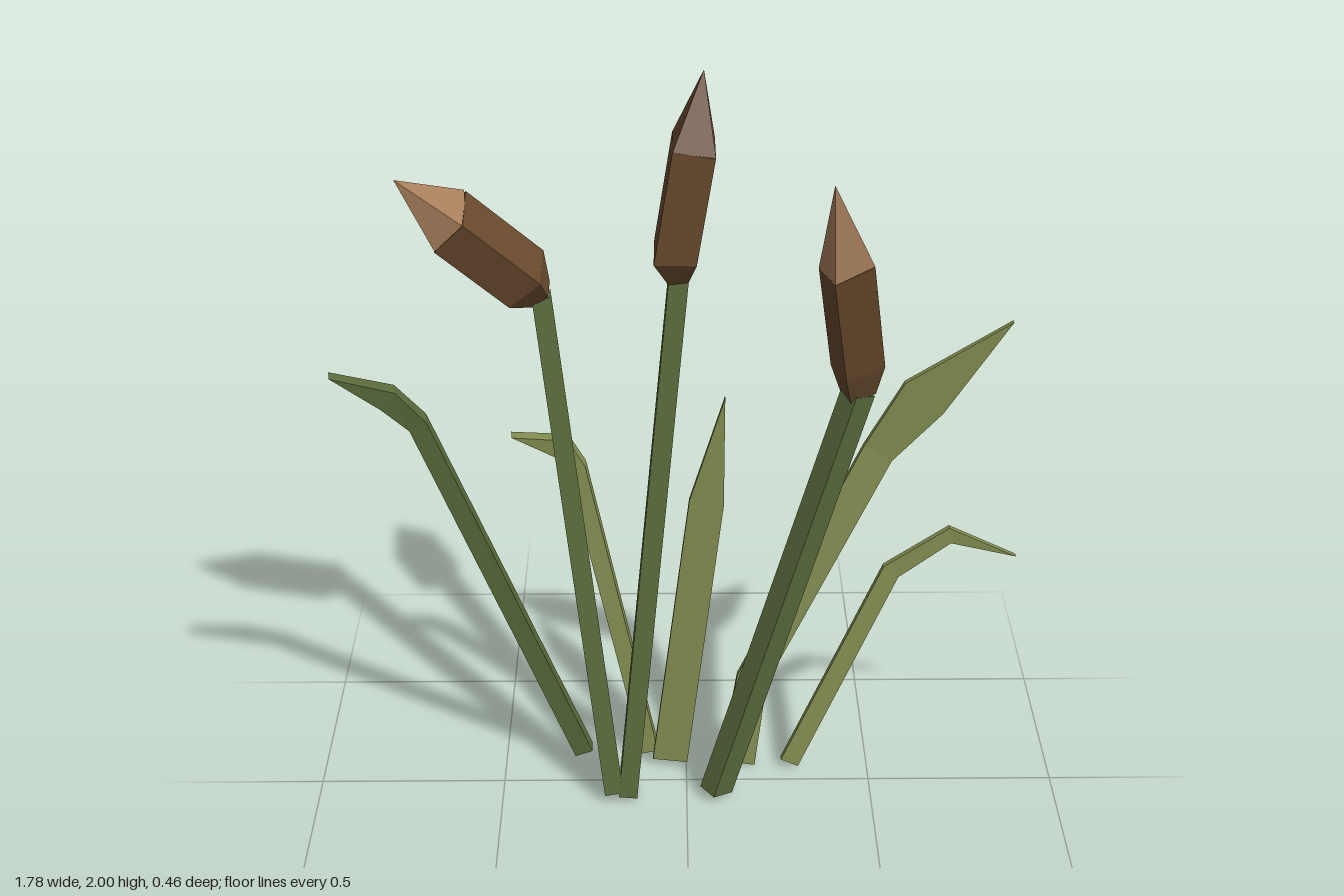
import * as THREE from 'three';

const mat = (name, color) =>
  Object.assign(new THREE.MeshStandardMaterial({ color, flatShading: true }), { name });

// Four-sided sweep. Each station is [x, y, z, width, depth]; depth runs along ref.
function sweep(stations, ref) {
  const pts = stations.map(s => new THREE.Vector3(s[0], s[1], s[2]));
  const last = pts.length - 1;
  const rings = stations.map(([, , , w, d], i) => {
    const t = new THREE.Vector3();
    if (i > 0) t.add(pts[i].clone().sub(pts[i - 1]).normalize());
    if (i < last) t.add(pts[i + 1].clone().sub(pts[i]).normalize());
    t.normalize();
    const v = new THREE.Vector3(...ref).projectOnPlane(t).normalize();
    const u = v.clone().cross(t);
    return [[1, 1], [-1, 1], [-1, -1], [1, -1]].map(([a, b]) =>
      pts[i].clone().addScaledVector(u, a * w / 2).addScaledVector(v, b * d / 2));
  });
  const pos = [];
  const quad = (a, b, c, d) => [a, b, c, a, c, d].forEach(p => pos.push(p.x, p.y, p.z));
  for (let i = 0; i < last; i++) {
    for (let k = 0; k < 4; k++) {
      const n = (k + 1) % 4;
      quad(rings[i][k], rings[i][n], rings[i + 1][n], rings[i + 1][k]);
    }
  }
  quad(...rings[0].slice().reverse());
  quad(...rings[last]);
  const geo = new THREE.BufferGeometry();
  geo.setAttribute('position', new THREE.Float32BufferAttribute(pos, 3));
  geo.computeVertexNormals();
  return geo;
}

export function createModel() {
  const model = new THREE.Group();
  const stalkGreen = mat('stalk green', 0x5a6b3c);
  const leafGreen = mat('leaf green', 0x838e51);
  const headBrown = mat('head brown', 0x694a2d);
  const tipBrown = mat('tip brown', 0xa97f5c);

  const add = (parent, name, material, stations, ref = [0, 0, 1]) => {
    const mesh = new THREE.Mesh(sweep(stations, ref), material);
    mesh.name = name;
    parent.add(mesh);
  };

  // Cattails: stalk, seed head and pointed tip
  const cattails = [
    { name: 'leftCattail', base: [-0.2, 0.025, 0.07], neck: [-0.365, 1.41, -0.105],
      flare: [-0.4, 1.455, -0.1], shoulder: [-0.58, 1.625, -0.06], tip: [-0.707, 1.75, -0.015],
      stalk: [0.05, 0.075], head: [0.106, 0.155],
      stalkRef: [0.1, 0, 1], headRef: [0.03, -0.23, 1], tipMat: tipBrown },
    { name: 'middleCattail', base: [-0.16, 0.015, 0.07], neck: [-0.02, 1.46, -0.09],
      flare: [-0.028, 1.525, -0.09], shoulder: [0.018, 1.81, -0.09], tip: [0.042, 2, -0.09],
      stalk: [0.05, 0.075], head: [0.106, 0.155],
      stalkRef: [0, 0, 1], headRef: [0, 0, 1], tipMat: headBrown },
    { name: 'rightCattail', base: [0.08, 0.02, 0.07], neck: [0.43, 1.195, 0.02],
      flare: [0.425, 1.28, 0.045], shoulder: [0.38, 1.59, 0.155], tip: [0.34, 1.825, 0.23],
      stalk: [0.055, 0.072], head: [0.08, 0.11],
      stalkRef: [0.75, 0, -0.66], headRef: [0.88, 0, -0.45], tipMat: tipBrown },
  ];
  for (const c of cattails) {
    const group = new THREE.Group();
    group.name = c.name;
    add(group, 'stalk', stalkGreen,
      [[...c.base, ...c.stalk], [...c.neck, ...c.stalk]], c.stalkRef);
    add(group, 'seedHead', headBrown,
      [[...c.neck, ...c.stalk], [...c.flare, ...c.head], [...c.shoulder, ...c.head]], c.headRef);
    add(group, 'headTip', c.tipMat,
      [[...c.shoulder, ...c.head], [...c.tip, 0, 0]], c.headRef);
    model.add(group);
  }

  // Thick bent shoots on the left
  add(model, 'leftShoot', stalkGreen, [
    [-0.285, 0.03, -0.11, 0.05, 0.04], [-0.68, 1.11, 0.01, 0.05, 0.04],
    [-0.75, 1.19, 0.03, 0.06, 0.04], [-0.888, 1.265, 0.06, 0, 0.035]]);
  add(model, 'backShoot', leafGreen, [
    [-0.1, 0.03, -0.11, 0.045, 0.04], [-0.29, 0.87, -0.205, 0.05, 0.04],
    [-0.33, 0.93, -0.21, 0.06, 0.04], [-0.46, 0.97, -0.195, 0, 0.035]]);

  // Flat blades in the middle and on the right
  add(model, 'middleBlade', leafGreen, [
    [-0.045, 0.02, -0.075, 0.095, 0.018], [0.053, 0.82, -0.095, 0.092, 0.018],
    [0.1, 1.125, -0.1, 0, 0.016]]);
  add(model, 'broadBlade', leafGreen, [
    [0.142, 0.01, -0.075, 0.095, 0.018], [0.18, 0.27, -0.1, 0.085, 0.018],
    [0.505, 0.93, -0.165, 0.087, 0.018], [0.62, 1.09, -0.165, 0.135, 0.018],
    [0.84, 1.305, -0.165, 0, 0.016]]);
  add(model, 'droopingBlade', leafGreen, [
    [0.285, 0.02, -0.06, 0.052, 0.018], [0.55, 0.59, -0.13, 0.052, 0.018],
    [0.705, 0.695, -0.14, 0.046, 0.018], [0.885, 0.63, -0.14, 0, 0.016]]);

  return model;
}
